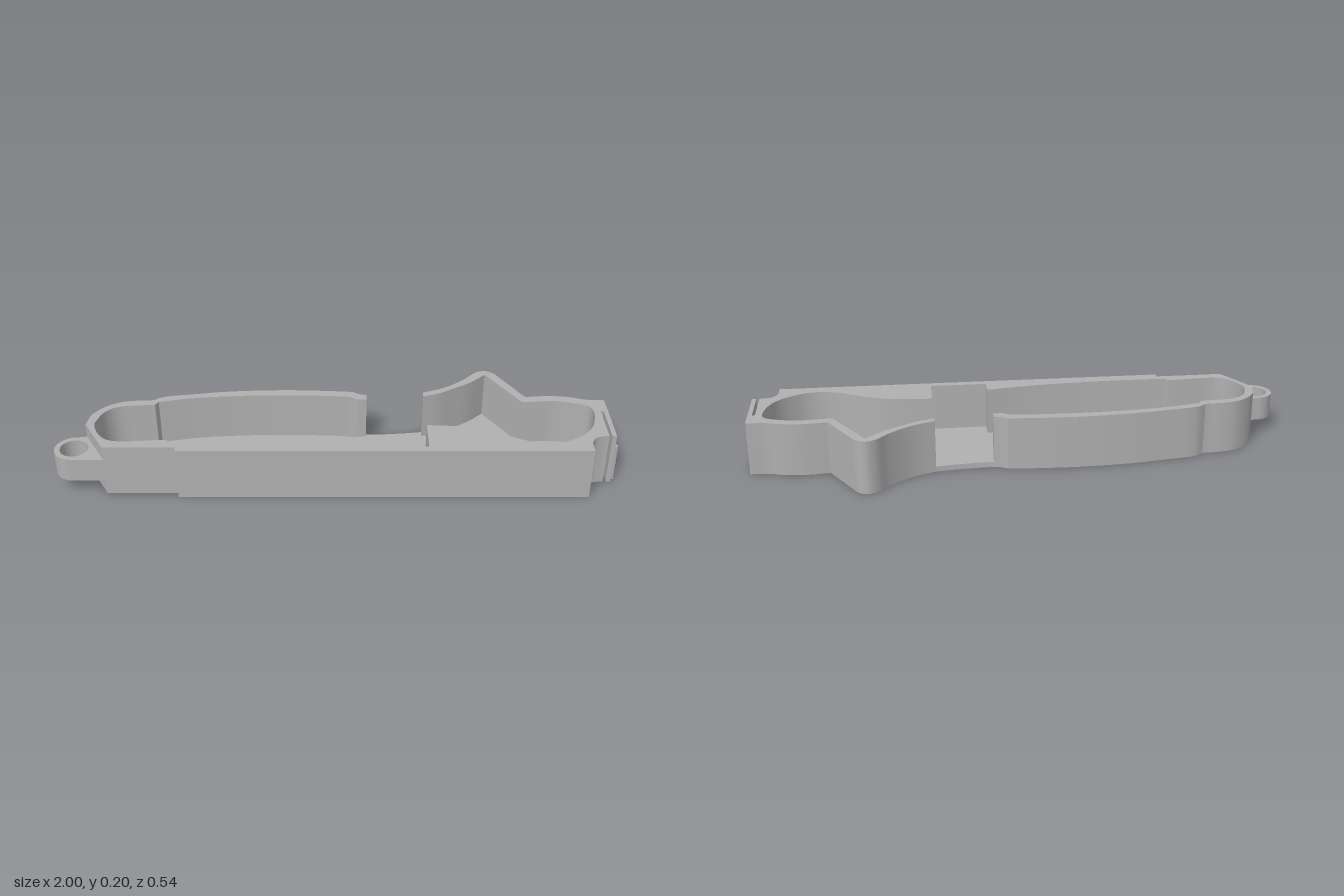
import * as THREE from 'three';
import { toCreasedNormals } from 'three/addons/utils/BufferGeometryUtils.js';

const HEIGHT = 0.197, FLOOR = 0.02;
const grey = new THREE.MeshStandardMaterial({ color: 0xb0b0b0 });
grey.name = 'grey';

// Plan points are [x, z] in hundredths of a unit; shapes use y = -z.
const plan = ([x, z]) => new THREE.Vector2(x / 100, -z / 100);
const corners = (...pts) => pts.map(plan);
function curve(...pts) {
  const path = new THREE.CatmullRomCurve3(pts.map(([x, z]) => new THREE.Vector3(x / 100, -z / 100, 0)));
  return path.getPoints(pts.length * 4).map((p) => new THREE.Vector2(p.x, p.y));
}

// Joins runs of points, dropping repeated ones
function join(...runs) {
  return runs.flat().filter((p, i, all) => i === 0 || p.distanceTo(all[i - 1]) > 1e-5);
}

// Extrudes a plan shape upward between two heights
function slab(name, shape, bottom, top) {
  let geo = new THREE.ExtrudeGeometry(shape, { depth: top - bottom, bevelEnabled: false, curveSegments: 32 });
  geo.rotateX(-Math.PI / 2);
  geo.translate(0, bottom, 0);
  geo = toCreasedNormals(geo, 0.45);
  const mesh = new THREE.Mesh(geo, grey);
  mesh.name = name;
  return mesh;
}

export function createModel() {
  const model = new THREE.Group();
  model.name = 'tray';

  // Outside outline, from the right of the back opening round to its left
  const outer = join(
    curve([32.1, -11.3], [38, -13.6], [43.1, -16.6], [49, -21.5], [53, -25.8], [56.5, -27.1], [59.7, -25.5], [62, -21.8]),
    curve([69.8, -8.2], [79.5, -8.9], [86, -8.1], [91.8, -6.4], [98.2, -6.1]),
    // spring clip and its slit
    corners([98.6, -5.5], [98.6, 17.8], [97, 17.8], [97, 1.5], [95.9, 1.5], [95.9, 17.8]),
    curve([94, 17.8], [91, 19], [89.3, 22]),
    // straight front edge
    corners([89.3, 27.1], [-56, 27.1], [-56, 24.9], [-81.5, 24.9]),
    // rounded left end and bowed back edge
    curve([-89.7, 10.3], [-88.5, 4], [-85.3, -0.6], [-80, -4.3], [-74.5, -5.5], [-69, -5.8], [-67.5, -6]),
    curve([-67.5, -6], [-64, -8.2], [-53, -10.1], [-40, -12], [-21, -13], [-8, -12.7], [6, -11.8]),
    curve([6, -11.8], [8.3, -10.3], [11, -9.5]),
  );

  // Cavity outline, from the left of the back opening round to its right
  const inner = join(
    corners([11, -6.4], [7.5, -6.4]),
    curve([5, -8.3], [-2, -8.9], [-21, -9.4], [-37, -8.9], [-53, -7.3], [-65.5, -4.7]),
    curve([-66.6, -2.8], [-80, -1.2], [-84, 2], [-86, 7], [-86.5, 10.2], [-85, 15], [-81.6, 19.4], [-77.5, 21], [-62.5, 20.3], [-59.6, 20.3]),
    curve([-58.5, 22], [-45, 22.2], [-29, 21.9], [-13, 20.9], [0, 19.5], [11, 17.6]),
    corners([11, 24.1], [32.1, 24.1]),
    curve([32.1, 10.7], [43, 11.5], [51, 13.1], [59, 16.6], [67, 20.8], [72.5, 22.2], [78, 21.9], [83, 19.8],
      [88.6, 15.5], [91.8, 10.2], [93.4, 1.6], [92.3, -1.6], [87.5, -3.8], [80.5, -5.4], [75, -5.1], [68.2, -4.6]),
    curve([56.5, -24.2], [50, -18.2], [43, -13.7], [38, -10.7], [32.1, -8.6]),
  );

  // Floor closes the opening; the wall is a C-shaped band above it
  const floorShape = new THREE.Shape([...outer, ...corners([20, -9.9], [27, -10.6])]);
  model.add(slab('floor', floorShape, 0, FLOOR));
  model.add(slab('wall', new THREE.Shape([...outer, ...inner]), FLOOR, HEIGHT));

  // Hinge lug with a round hole
  const cx = -0.93, cy = -0.179;
  const lug = new THREE.Shape();
  lug.moveTo(-0.815, -0.249);
  lug.lineTo(-0.897, -0.103);
  lug.lineTo(cx, cy + 0.07);
  lug.absarc(cx, cy, 0.07, Math.PI / 2, Math.PI * 1.5, false);
  lug.closePath();
  const hole = new THREE.Path();
  hole.absarc(cx, cy, 0.05, 0, Math.PI * 2, true);
  lug.holes.push(hole);
  model.add(slab('hingeLug', lug, 0.055, 0.145));

  // Small catch on the outer face of the spring clip
  const catchShape = new THREE.Shape(corners([98.6, 16.5], [100, 16.2], [100, 15.3], [98.6, 15]));
  model.add(slab('clipCatch', catchShape, 0, 0.143));

  return model;
}
